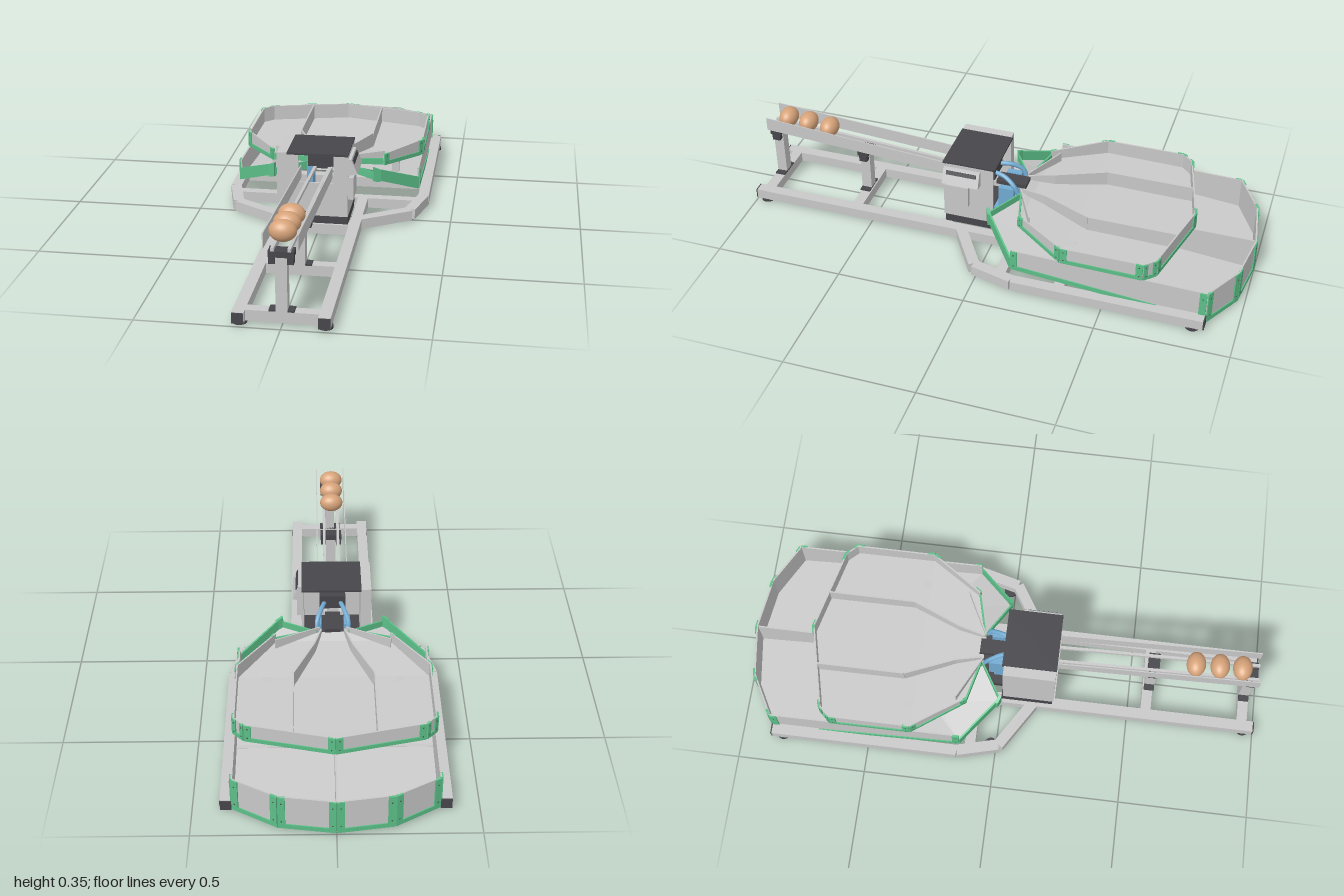
import * as THREE from 'three';

const paint = (name, color, side = THREE.FrontSide) => {
  const m = new THREE.MeshStandardMaterial({ color, side });
  m.name = name;
  return m;
};

export function createModel() {
  const root = new THREE.Group();
  root.name = 'eggSortingTable';
  const metal = paint('light metal', 0xc8c8c8);
  const sheet = paint('sheet floor', 0xcacaca, THREE.DoubleSide);
  const green = paint('green bracket', 0x5cbf88);
  const dark = paint('dark plastic', 0x47464b);
  const shell = paint('egg shell', 0xd6a37a);
  const blue = paint('blue arm', 0x72abd2);

  const add = (name, geo, mat, x = 0, y = 0, z = 0) => {
    const m = new THREE.Mesh(geo, mat);
    m.name = name;
    m.position.set(x, y, z);
    root.add(m);
    return m;
  };
  // Box given by its limits
  const block = (name, mat, x0, x1, y0, y1, z0, z1) =>
    add(name, new THREE.BoxGeometry(x1 - x0, y1 - y0, z1 - z0), mat, (x0 + x1) / 2, (y0 + y1) / 2, (z0 + z1) / 2);
  // Upright slab between two stations [x, z, yBottom, yTop]
  const slab = (name, mat, a, b, t, out = 0) => {
    const geo = new THREE.BoxGeometry(1, 1, 1), p = geo.attributes.position;
    const dx = b[0] - a[0], dz = b[1] - a[1], len = Math.hypot(dx, dz);
    for (let i = 0; i < p.count; i++) {
      const e = p.getX(i) < 0 ? a : b, w = p.getZ(i) * t + out;
      p.setXYZ(i, e[0] - dz / len * w, p.getY(i) < 0 ? e[2] : e[3], e[1] + dx / len * w);
    }
    geo.computeVertexNormals();
    return add(name, geo, mat);
  };
  const mix = (a, b, k) => a.map((v, i) => v + (b[i] - v) * k);
  const flip = (p, s) => [p[0] * s, ...p.slice(1)];
  // Open sheet from a list of triangles' corner points
  const skin = (name, quads) => {
    const v = [];
    quads.forEach(([a, b, c, d]) => v.push(...a, ...b, ...c, ...a, ...c, ...d));
    const geo = new THREE.BufferGeometry();
    geo.setAttribute('position', new THREE.Float32BufferAttribute(v, 3));
    geo.computeVertexNormals();
    return add(name, geo, sheet);
  };
  // Tray floor from rows [z, halfWidth, y], front to back
  const floor = (name, rows) => skin(name, rows.slice(1).map((r, i) => {
    const q = rows[i];
    return [[-q[1], q[2], q[0]], [q[1], q[2], q[0]], [r[1], r[2], r[0]], [-r[1], r[2], r[0]]];
  }));
  // Tray wall with green foot strip, corner brackets and bolts, on both sides
  const wall = (name, pts, strip) => [-1, 1].forEach(s => pts.slice(1).forEach((q, i) => {
    const a = flip(pts[i], s), b = flip(q, s), len = Math.hypot(b[0] - a[0], b[1] - a[1]);
    slab(name, metal, a, b, 0.006);
    const low = p => [p[0], p[1], p[2] - 0.004, p[2] + strip];
    slab(name + 'Strip', green, low(a), low(b), 0.008, s * 0.003);
    const k = Math.min(0.3, 0.026 / len);
    [[0, k], [1 - k, 1]].forEach(([f, g]) => {
      slab(name + 'Bracket', green, mix(a, b, f), mix(a, b, g), 0.01, s * 0.003);
      const c = mix(a, b, (f + g) / 2);
      [0.2, 0.8].forEach(h => {
        const bolt = add('bolt', new THREE.SphereGeometry(0.004, 8, 6), dark,
          c[0] - (b[1] - a[1]) / len * s * 0.007, c[2] + (c[3] - c[2]) * h, c[1] + (b[0] - a[0]) / len * s * 0.007);
        bolt.scale.setScalar(0.8);
      });
    });
  }));

  // Base frame: one bent rail on each side
  for (const s of [-1, 1]) {
    const path = [[0.145, 0.995], [0.145, 0.13], [0.34, 0.01], [0.382, -0.15], [0.382, -0.88]].map(p => [p[0] * s, p[1], 0.01, 0.05]);
    path.slice(1).forEach((p, i) => slab('baseRail', metal, path[i], p, 0.042));
    block('railEndCap', dark, s * 0.145 - 0.02, s * 0.145 + 0.02, 0.011, 0.049, 0.99, 1.0);
    block('railRearCap', dark, s * 0.382 - 0.02, s * 0.382 + 0.02, 0.011, 0.049, -0.885, -0.875);
    [[0.145, 0.96], [0.382, -0.84], [0.33, -0.02]].forEach(([x, z]) =>
      add('foot', new THREE.CylinderGeometry(0.026, 0.026, 0.011, 20), dark, s * x, 0.0055, z));
    block('innerRail', metal, s * 0.145 - 0.02, s * 0.145 + 0.02, 0.01, 0.05, -0.1, 0.14);
  }
  [[0.95, 0.13], [0.57, 0.13], [0.19, 0.13], [-0.1, 0.37], [-0.33, 0.37], [-0.58, 0.37]].forEach(([z, w]) =>
    block('crossBeam', metal, -w, w, 0.01, 0.05, z - 0.02, z + 0.02));

  // Feed ramp posts with clamps
  [[0.95, 0.25], [0.575, 0.225]].forEach(([z, top]) => {
    block('rampPost', metal, -0.021, 0.019, 0.05, top, z - 0.02, z + 0.02);
    block('rampSaddle', dark, -0.045, 0.042, top - 0.004, top + 0.018, z - 0.022, z + 0.022);
    [-0.033, 0.029].forEach(x => block('rampClamp', dark, x - 0.011, x + 0.011, top - 0.03, top, z - 0.016, z + 0.016));
    block('postFoot', dark, -0.045, 0.042, 0.05, 0.056, z - 0.02, z + 0.02);
  });
  // Feed ramp: guide plates and carrying rods
  [-0.06, 0.057].forEach(x => slab('guidePlate', metal, [x, 0.975, 0.278, 0.332], [x, 0.19, 0.23, 0.278], 0.004));
  [-0.03, 0.027].forEach(x => slab('carryingRod', metal, [x, 0.975, 0.268, 0.281], [x, 0.02, 0.205, 0.218], 0.011));

  // Eggs
  [[0.905, 0.315], [0.82, 0.309], [0.73, 0.302]].forEach(([z, y]) =>
    add('egg', new THREE.SphereGeometry(1, 32, 20), shell, -0.005, y, z).scale.set(0.048, 0.038, 0.037));

  // Machine head: base, side walls, notched front panel, lid
  block('headBase', dark, -0.15, 0.12, 0.05, 0.082, 0.0, 0.2);
  block('headBaseTongue', dark, -0.1, 0.1, 0.055, 0.08, -0.09, 0.0);
  block('sideCabinet', metal, -0.15, -0.11, 0.082, 0.33, 0.005, 0.205);
  block('sideWall', metal, 0.112, 0.12, 0.082, 0.326, 0.005, 0.205);
  const front = new THREE.Shape([[-0.11, 0.082], [0.112, 0.082], [0.112, 0.324], [0.065, 0.324], [0.065, 0.215],
    [-0.068, 0.215], [-0.068, 0.324], [-0.11, 0.324]].map(p => new THREE.Vector2(...p)));
  add('frontPanel', new THREE.ExtrudeGeometry(front, { depth: 0.008, bevelEnabled: false }), metal, 0, 0, 0.197);
  block('lid', dark, -0.112, 0.12, 0.324, 0.332, -0.002, 0.207);

  // Sloped control panel and the box under it
  const side = new THREE.Shape([[0.12, 0.312], [0.132, 0.312], [0.156, 0.255], [0.12, 0.248]].map(p => new THREE.Vector2(...p)));
  add('controlPanel', new THREE.ExtrudeGeometry(side, { depth: 0.145, bevelEnabled: false }), metal, 0, 0, 0.055);
  const screen = block('controlScreen', dark, -0.002, 0.002, -0.008, 0.008, -0.06, 0.06);
  screen.position.set(0.1385, 0.298, 0.127);
  screen.rotation.z = 0.4;
  block('terminalBox', metal, 0.12, 0.14, 0.15, 0.238, 0.1, 0.195);

  // Pick-up unit inside the head
  block('pickupMotor', dark, -0.05, 0.05, 0.235, 0.29, 0.02, 0.08);
  block('pickupGuide', dark, -0.03, 0.03, 0.205, 0.22, -0.1, 0.02);
  block('armMount', blue, -0.065, 0.065, 0.085, 0.115, -0.04, 0.02);
  for (const s of [-1, 1]) {
    const arm = new THREE.CatmullRomCurve3([[0.03, 0.26, 0.03], [0.045, 0.255, -0.02], [0.06, 0.23, -0.06], [0.06, 0.2, -0.075]]
      .map(p => new THREE.Vector3(p[0] * s, p[1], p[2])));
    add('swingArm', new THREE.TubeGeometry(arm, 16, 0.009, 8), blue);
    block('armPlate', blue, s * 0.055 - 0.012, s * 0.055 + 0.012, 0.115, 0.215, -0.06, 0.0);
  }

  // Lower tray: main floor, walls, centre divider
  floor('lowerFloor', [[-0.3, 0.358, 0.077], [-0.88, 0.358, 0.022], [-0.97, 0.2, 0.016], [-1, 0, 0.013]]);
  wall('lowerWall', [[0.358, -0.14, 0.085, 0.165], [0.358, -0.88, 0.02, 0.148], [0.2, -0.967, 0.013, 0.145], [0, -0.995, 0.011, 0.143]], 0.014);
  slab('lowerDivider', metal, [0, -0.3, 0.077, 0.145], [0, -0.99, 0.013, 0.143], 0.006);
  // Lower tray: chutes feeding each half
  for (const s of [-1, 1]) {
    const P = (x, y, z) => [x * s, y, z];
    skin('lowerChute', [
      [P(0.2, 0.165, 0), P(0.06, 0.175, -0.085), P(0.2, 0.085, -0.25), P(0.358, 0.087, -0.14)],
      [P(0.358, 0.087, -0.14), P(0.2, 0.085, -0.25), P(0.18, 0.077, -0.3), P(0.358, 0.077, -0.3)]]);
    slab('chuteOuterEdge', green, [0.2 * s, 0, 0.162, 0.208], [0.36 * s, -0.14, 0.08, 0.13], 0.007);
    slab('chuteOuterEdgeEnd', green, [0.22 * s, -0.012, 0.15, 0.2], [0.195 * s, 0, 0.155, 0.212], 0.012);
    slab('chuteFrontEdge', green, [0.2 * s, 0, 0.16, 0.19], [0.06 * s, -0.085, 0.17, 0.2], 0.006);
    slab('chuteInnerEdge', green, [0.06 * s, -0.085, 0.165, 0.19], [0.2 * s, -0.25, 0.075, 0.1], 0.007);
    block('traySupport', metal, s * 0.305 - 0.025, s * 0.305 + 0.025, 0.05, 0.062, -0.35, -0.31);
    [[0.26, -0.8], [0.1, -0.8]].forEach(([x, z]) => block('trayPad', dark, s * x - 0.03, s * x + 0.03, 0.016, 0.026, z - 0.02, z + 0.02));
  }

  // Upper tray: floor, walls, lane dividers
  floor('upperFloor', [[-0.09, 0.06, 0.2], [-0.13, 0.22, 0.185], [-0.33, 0.358, 0.165], [-0.64, 0.358, 0.16], [-0.68, 0.32, 0.16], [-0.757, 0, 0.16]]);
  wall('upperWall', [[0.22, -0.13, 0.18, 0.222], [0.358, -0.33, 0.162, 0.222], [0.358, -0.64, 0.157, 0.222],
    [0.32, -0.68, 0.157, 0.222], [0, -0.757, 0.157, 0.222]], 0.012);
  for (const s of [-1, 1]) {
    slab('upperFrontEdge', green, [0.06 * s, -0.09, 0.192, 0.212], [0.22 * s, -0.13, 0.178, 0.204], 0.007);
    const lane = [[0.045, -0.09, 0.195, 0.215], [0.07, -0.19, 0.18, 0.222], [0.15, -0.38, 0.162, 0.222], [0.15, -0.72, 0.158, 0.222]].map(p => flip(p, s));
    lane.slice(1).forEach((p, i) => slab('laneDivider', metal, lane[i], p, 0.006));
    slab('sideLaneDivider', metal, [0.05 * s, -0.085, 0.2, 0.22], [0.22 * s, -0.17, 0.182, 0.222], 0.005);
    slab('upperTraySupport', metal, [0.25 * s, -0.33, 0.05, 0.165], [0.25 * s, -0.36, 0.05, 0.165], 0.03);
  }
  return root;
}
